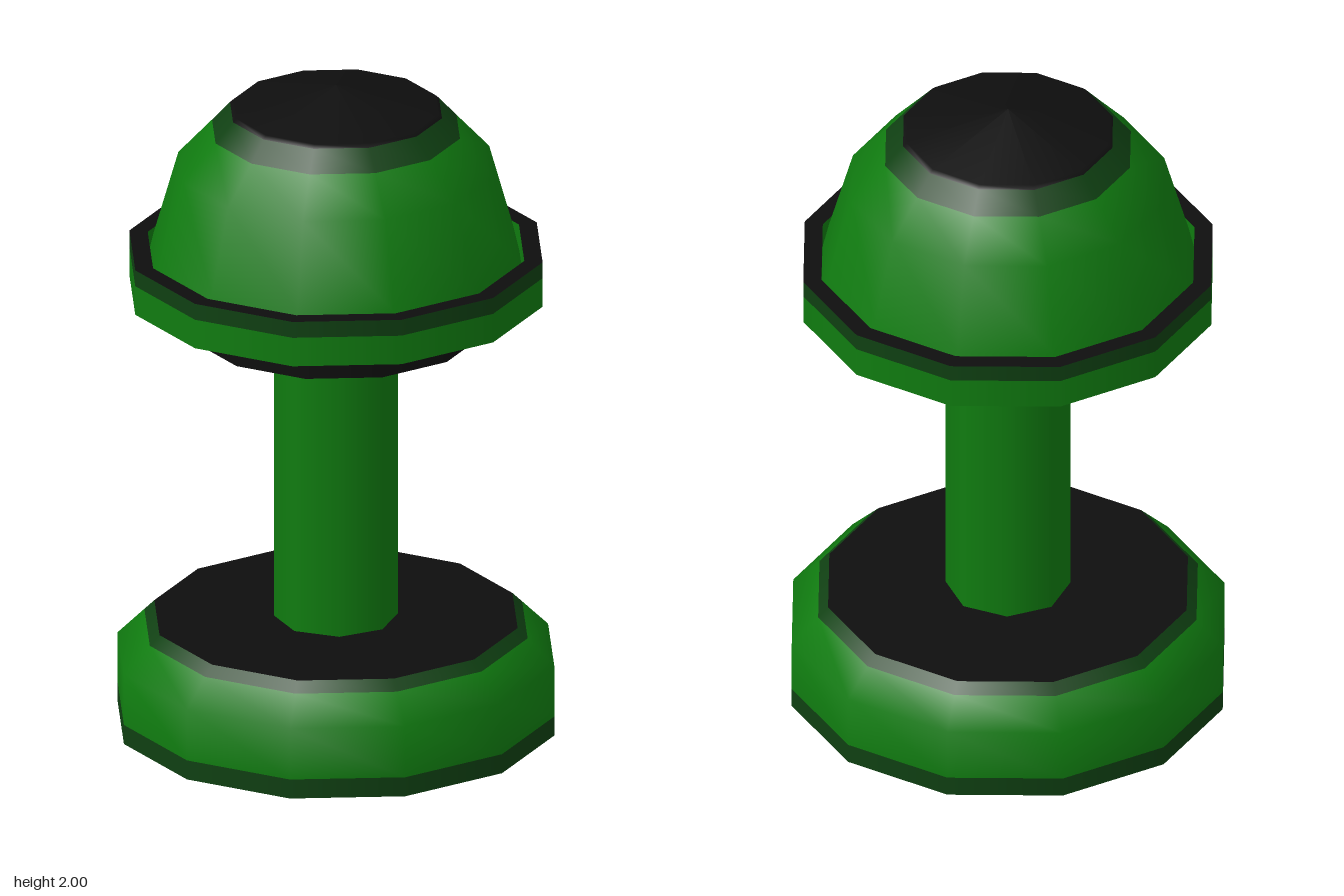
import * as THREE from 'three';

const SIDES = 12;

function makeMaterial(name, color) {
  const m = new THREE.MeshStandardMaterial({ color });
  m.name = name;
  return m;
}

export function createModel() {
  const green = makeMaterial('green', 0x107c10);
  const darkGreen = makeMaterial('dark green', 0x0f4012);
  const black = makeMaterial('black', 0x0e0e0e);
  const model = new THREE.Group();
  model.name = 'stand';

  // One turned band: profile of [radius, height] pairs, counterclockwise
  function band(parent, name, material, profile, sides = SIDES) {
    const pts = profile.map(([r, y]) => new THREE.Vector2(r, y));
    const mesh = new THREE.Mesh(new THREE.LatheGeometry(pts, sides), material);
    mesh.name = name;
    parent.add(mesh);
  }

  function group(name) {
    const g = new THREE.Group();
    g.name = name;
    model.add(g);
    return g;
  }

  // Chamfered foot
  const base = group('base');
  band(base, 'baseUnderside', black, [[0, 0], [0.655, 0]]);
  band(base, 'baseLowerTrim', darkGreen, [[0.655, 0], [0.655, 0.06]]);
  band(base, 'baseBody', green, [[0.655, 0.06], [0.655, 0.22], [0.575, 0.3]]);
  band(base, 'baseUpperTrim', darkGreen, [[0.575, 0.3], [0.545, 0.33]]);
  band(base, 'baseTop', black, [[0.545, 0.33], [0, 0.33]]);

  // Column
  band(model, 'column', green, [[0.183, 0.32], [0.183, 1.26]], 8);

  // Collar under the head
  const collar = group('collar');
  band(collar, 'collarUnderside', black, [[0, 1.24], [0.437, 1.24]]);
  band(collar, 'collarSide', black, [[0.437, 1.24], [0.437, 1.42]]);

  // Rim: a hollow ring around the lower edge of the dome
  const rim = group('rim');
  band(rim, 'rimUnderside', green, [[0.567, 1.35], [0.62, 1.35]]);
  band(rim, 'rimSide', green, [[0.62, 1.35], [0.62, 1.44]]);
  band(rim, 'rimTrim', darkGreen, [[0.62, 1.44], [0.62, 1.49]]);
  band(rim, 'rimTop', black, [[0.62, 1.49], [0.565, 1.49]]);
  band(rim, 'rimInnerWall', green, [[0.565, 1.49], [0.567, 1.35]]);

  // Dome
  const dome = group('dome');
  band(dome, 'domeUnderside', black, [[0, 1.41], [0.566, 1.41]]);
  band(dome, 'domeBody', green, [[0.566, 1.41], [0.547, 1.49], [0.473, 1.75], [0.372, 1.86]]);
  band(dome, 'domeTrim', darkGreen, [[0.372, 1.86], [0.318, 1.92]]);
  band(dome, 'domeCap', black, [[0.318, 1.92], [0.307, 1.93], [0, 2]]);

  return model;
}
